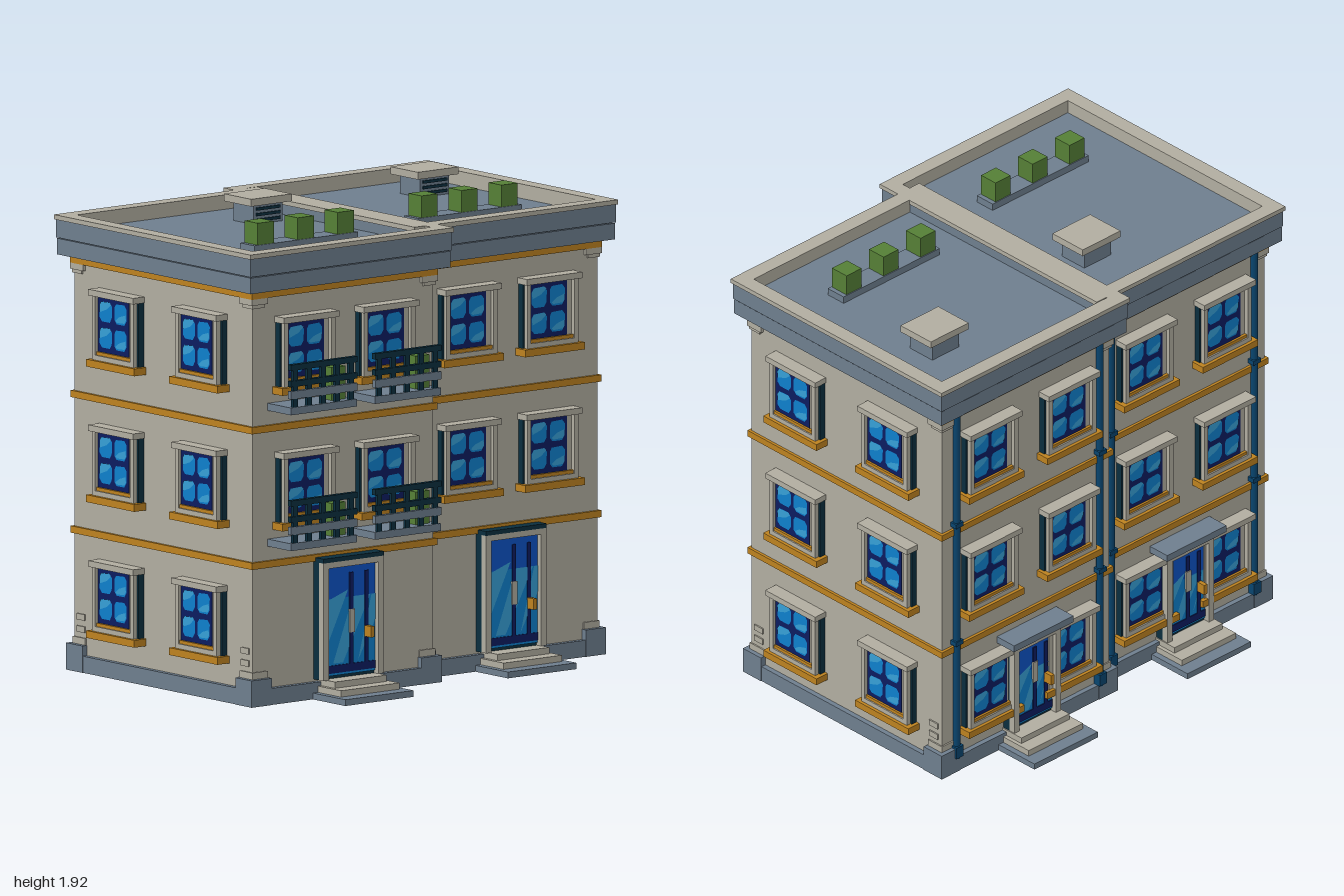
import * as THREE from 'three';

const mat = (name, hex, double = false) => {
  const m = new THREE.MeshStandardMaterial({ color: hex });
  m.name = name;
  if (double) m.side = THREE.DoubleSide;
  return m;
};
const stone = mat('warm stone', 0xb1ada0);
const slate = mat('slate', 0x6e7e8e);
const ochre = mat('ochre trim', 0xbd8220);
const teal = mat('dark teal', 0x0a2e3e);
const navy = mat('navy glass', 0x0c1c60);
const blue = mat('bright glass', 0x0e80cc, true);
const sky = mat('glass highlight', 0x369fd6, true);
const royal = mat('royal glass', 0x0c52c4);
const leaf = mat('leaf green', 0x557f36);
const pipeBlue = mat('pipe blue', 0x08456f);

// Box given by its extents
function box(parent, name, m, x0, x1, y0, y1, z0, z1) {
  const mesh = new THREE.Mesh(new THREE.BoxGeometry(x1 - x0, y1 - y0, z1 - z0), m);
  mesh.position.set((x0 + x1) / 2, (y0 + y1) / 2, (z0 + z1) / 2);
  mesh.name = name;
  parent.add(mesh);
  return mesh;
}

// Flat polygon facing +z
function plate(parent, name, m, pts, x, y, z) {
  const shape = new THREE.Shape(pts.map(p => new THREE.Vector2(p[0], p[1])));
  const mesh = new THREE.Mesh(new THREE.ShapeGeometry(shape), m);
  mesh.position.set(x, y, z);
  mesh.name = name;
  parent.add(mesh);
}

function group(parent, name, x, y, z, turn = 0) {
  const g = new THREE.Group();
  g.name = name;
  g.position.set(x, y, z);
  g.rotation.y = turn;
  parent.add(g);
  return g;
}

// Horizontal rectangular ring
function ring(parent, name, m, x0, x1, y0, y1, z0, z1, t) {
  box(parent, name, m, x0, x1, y0, y1, z1 - t, z1);
  box(parent, name, m, x0, x1, y0, y1, z0, z0 + t);
  box(parent, name, m, x0, x0 + t, y0, y1, z0 + t, z1 - t);
  box(parent, name, m, x1 - t, x1, y0, y1, z0 + t, z1 - t);
}

const pane = [[-.04, -.025], [-.026, -.041], [.024, -.041], [.037, -.022], [.039, .026], [.024, .043], [-.03, .04], [-.04, .024]];
const glint = [[-.038, -.004], [.008, .012], [.035, .034], [.024, .043], [-.03, .04], [-.04, .024]];

// Window on a wall, local z points outwards
function addWindow(parent, x, y, z, turn) {
  const g = group(parent, 'window', x, y, z, turn);
  box(g, 'windowSill', ochre, -.155, .155, 0, .03, 0, .062);
  box(g, 'windowSurround', teal, -.14, .14, .03, .296, 0, .027);
  box(g, 'windowPanel', stone, -.131, .131, .03, .296, 0, .03);
  box(g, 'frameLeft', stone, -.133, -.113, .03, .296, .03, .048);
  box(g, 'frameRight', stone, .111, .133, .03, .296, .03, .048);
  box(g, 'frameBottom', stone, -.113, .111, .03, .05, .03, .048);
  box(g, 'innerSill', ochre, -.113, .111, .05, .064, .03, .042);
  box(g, 'windowHood', stone, -.145, .145, .293, .318, 0, .06);
  box(g, 'windowGlass', navy, -.113, .085, .064, .293, .03, .033);
  for (const px of [-.06, .034]) for (const py of [.125, .232]) {
    plate(g, 'pane', blue, pane, px, py, .035);
    plate(g, 'paneHighlight', sky, px < 0 ? glint : glint.map(p => [-p[0] * .9, -p[1] * .8]), px, py, .037);
  }
}

// Door with steps; w is the half width and h the top of the frame
function addDoor(parent, x, z, turn, w, h, canopy) {
  const g = group(parent, 'door', x, 0, z, turn);
  box(g, 'lowerStep', slate, -.178, .178, 0, .026, 0, .23);
  box(g, 'middleStep', stone, -.152, .152, .026, .052, 0, .17);
  box(g, 'upperStep', stone, -.135, .135, .052, .078, 0, .11);
  box(g, 'doorSurround', teal, -w, w, .078, h, 0, .036);
  for (const s of [-1, 1]) box(g, 'doorPost', stone, s * (w - .014) - .014, s * (w - .014) + .014, .078, h - .018, .036, .065);
  box(g, 'doorLintel', stone, -w + .028, w - .028, h - .042, h - .018, .036, .065);
  box(g, 'lintelTrim', teal, -w, w, h - .018, h, .036, .065);
  const a = w - .028, top = h - .042, mid = top - .13;
  box(g, 'doorGlassUpper', royal, -a, a, mid, top, .036, .042);
  box(g, 'doorGlassLower', blue, -a, a, .09, mid, .036, .042);
  plate(g, 'doorHighlight', sky, [[-a, .2], [-a * .1, mid + .03], [-a, mid - .01]], 0, 0, .044);
  plate(g, 'doorHighlight', sky, [[-a * .7, .14], [-a * .3, .14], [a * .8, mid], [a * .1, mid]], 0, 0, .044);
  plate(g, 'doorHighlight', sky, [[a * .3, .14], [a, .3], [a, mid], [a * .85, mid]], 0, 0, .044);
  box(g, 'doorKickBar', navy, -a, a, .1, .132, .042, .046);
  for (const px of [.03, .64]) box(g, 'doorBar', navy, a * px - .009, a * px + .009, .132, top - .03, .042, .047);
  box(g, 'doorPlate', stone, a * .03 - .013, a * .03 + .013, .26, .355, .042, .051);
  box(g, 'doorHandle', ochre, a * .64 - .009, a * .64 + .009, .235, .28, .042, .085);
  if (canopy) box(g, 'canopy', slate, -.167, .167, h, h + .03, 0, .1);
}

// Balcony with railing and a potted bush
function addBalcony(parent, x, y, z) {
  const g = group(parent, 'balcony', x, y, z);
  box(g, 'balconySlab', slate, -.172, .172, 0, .03, 0, .15);
  box(g, 'lowerRail', slate, -.172, .172, .065, .097, .132, .152);
  for (const ry of [.115, .182]) box(g, 'rail', teal, -.172, .172, ry, ry + .024, .13, .152);
  for (let i = 0; i < 5; i++) {
    const bx = -.146 + i * .073;
    box(g, 'baluster', teal, bx - .012, bx + .012, .03, .19, .134, .148);
  }
  box(g, 'balconyBush', leaf, .07, .142, .03, .165, .05, .112);
}

// One house block: plinth, walls, bands, cornice and roof
function addBlock(parent, name, x0, x1, z0, z1) {
  const g = group(parent, name, 0, 0, 0);
  const grown = (label, m, e, y0, y1) => box(g, label, m, x0 - e, x1 + e, y0, y1, z0 - e, z1 + e);
  grown('walls', stone, 0, 0.06, 1.71);
  grown('plinth', slate, .022, 0, .068);
  grown('floorBand', ochre, .012, .562, .59);
  grown('floorBand', ochre, .012, 1.118, 1.146);
  grown('topBand', ochre, .014, 1.67, 1.702);
  grown('corniceLower', slate, .05, 1.702, 1.768);
  grown('roof', slate, .054, 1.772, 1.805);
  grown('corniceGroove', slate, .044, 1.765, 1.775);

  // Corner stones, brackets and quoins
  for (const sx of [-1, 1]) for (const sz of [-1, 1]) {
    const cx = sx < 0 ? x0 : x1, cz = sz < 0 ? z0 : z1;
    const corner = (label, m, e, s, y0, y1) => {
      const xa = cx + sx * e, xb = cx - sx * s, za = cz + sz * e, zb = cz - sz * s;
      box(g, label, m, Math.min(xa, xb), Math.max(xa, xb), y0, y1, Math.min(za, zb), Math.max(za, zb));
    };
    corner('cornerPlinth', slate, .025, .08, 0, .11);
    corner('cornerStone', stone, .006, .075, .11, .138);
    corner('cornerBracket', stone, .014, .07, 1.645, 1.67);
    corner('cornerBracket', stone, .008, .055, 1.63, 1.645);
    for (const qy of [.16, .21]) {
      const za = cz - sz * .02, zb = cz - sz * .07;
      box(g, 'quoin', stone, cx - .006, cx + .006, qy, qy + .025, Math.min(za, zb), Math.max(za, zb));
    }
  }

  // Parapet
  const e = .054;
  ring(g, 'parapet', slate, x0 - e, x1 + e, 1.8, 1.846, z0 - e, z1 + e, .035);
  ring(g, 'parapetLining', stone, x0 - .02, x1 + .02, 1.8, 1.846, z0 - .02, z1 + .02, .023);
  ring(g, 'parapetCap', stone, x0 - .06, x1 + .06, 1.846, 1.865, z0 - .06, z1 + .06, .066);
  return g;
}

function addPlanter(parent, x, z) {
  const g = group(parent, 'roofPlanter', x, 1.8, z);
  box(g, 'planterTray', slate, -.27, .27, 0, .035, -.046, .046);
  for (const bx of [-.208, 0, .208]) box(g, 'roofBush', leaf, bx - .042, bx + .042, .035, .125, -.042, .042);
}

function addVent(parent, x, z) {
  const g = group(parent, 'roofVent', x, 1.8, z);
  box(g, 'ventBody', slate, -.075, .075, 0, .087, -.065, .065);
  box(g, 'ventCap', stone, -.106, .106, .085, .115, -.088, .088);
  for (const y of [.015, .038, .061]) box(g, 'ventSlat', teal, -.062, .062, y, y + .012, .065, .07);
}

function addPipe(parent, x, z) {
  const g = group(parent, 'drainpipe', x, 0, z);
  const pipe = new THREE.Mesh(new THREE.CylinderGeometry(.015, .015, 1.64, 8), pipeBlue);
  pipe.position.y = .88;
  pipe.name = 'pipe';
  g.add(pipe);
  box(g, 'pipeFoot', pipeBlue, -.02, .02, .068, .12, -.02, .02);
  for (const y of [.6, 1.16]) box(g, 'pipeBracket', pipeBlue, -.021, .021, y, y + .02, -.018, .018);
}

export function createModel() {
  const model = new THREE.Group();
  model.name = 'townhouses';
  const floors = [.157, .714, 1.27];
  const houses = [
    { name: 'rightHouse', s: -1, x0: -.94, x1: 0, z0: -.54, z1: .603, fx: [-.68, -.265] },
    { name: 'leftHouse', s: 1, x0: 0, x1: .94, z0: -.61, z1: .497, fx: [.25, .67] },
  ];
  for (const h of houses) {
    const { s, x0, x1, z0, z1 } = h;
    const g = addBlock(model, h.name, x0, x1, z0, z1);
    const zc = (z0 + z1) / 2, outer = s < 0 ? x0 : x1;
    floors.forEach((y, i) => {
      if (i) for (const x of h.fx) addWindow(g, x, y, z1, 0);
      for (const x of [.25, .69]) addWindow(g, s * x, y, z0, Math.PI);
      for (const d of [-.267, .267]) addWindow(g, outer, y, zc + d, s * Math.PI / 2);
    });
    addDoor(g, s * .466, z1, 0, .157, .578, false);
    addDoor(g, s * .464, z0, Math.PI, .13, .495, true);
    for (const x of [.065, .87]) addPipe(g, s * x, z0 - .014);
  }

  // Balconies on the forward house
  for (const y of [.648, 1.205]) for (const x of [-.69, -.252]) addBalcony(model, x, y, .603);

  // Roof furniture
  addPlanter(model, -.465, .316);
  addPlanter(model, .465, .22);
  addVent(model, -.228, -.242);
  addVent(model, .706, -.325);
  return model;
}
